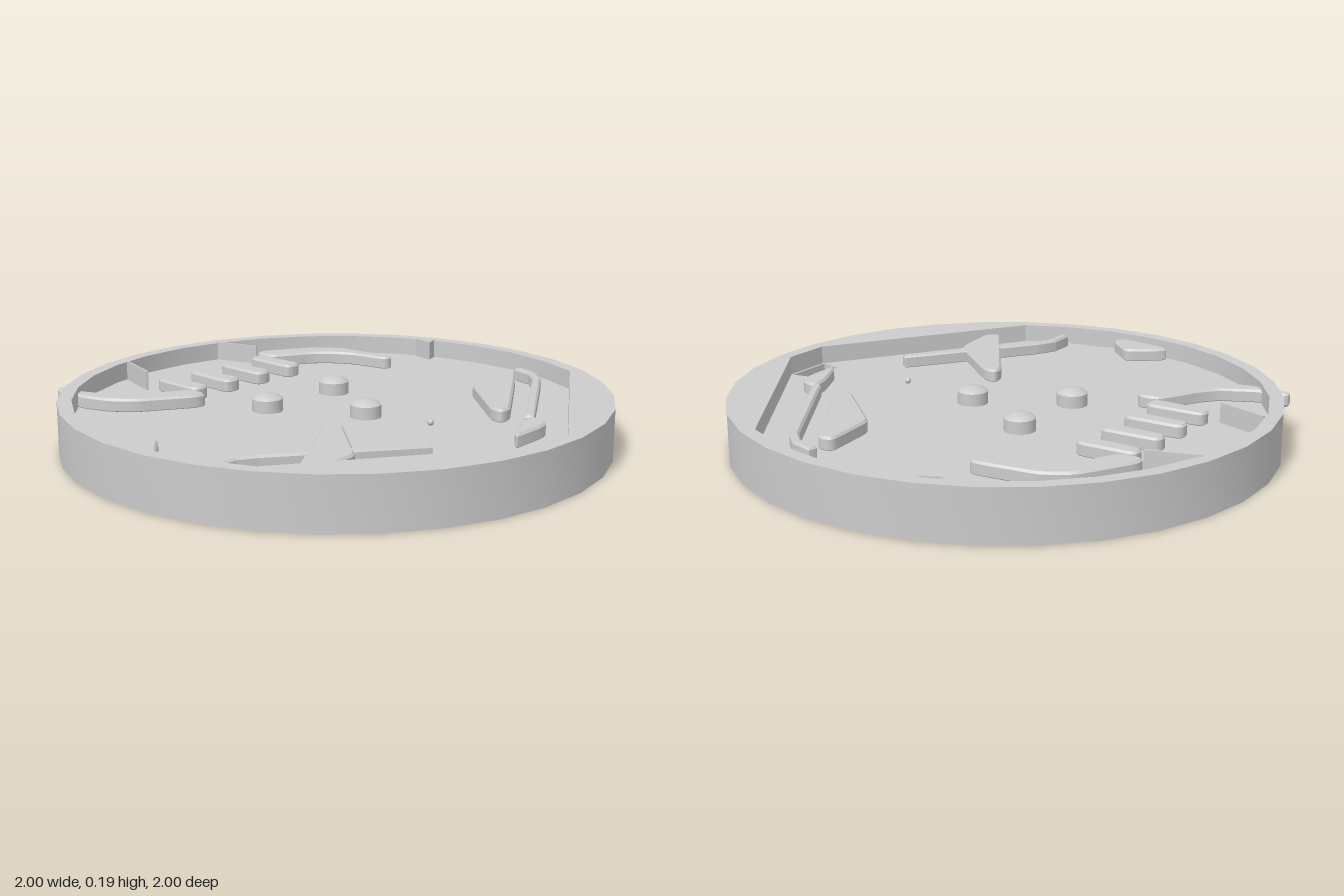
import * as THREE from 'three';
import { toCreasedNormals } from 'three/addons/utils/BufferGeometryUtils.js';

const FLOOR = 0.12, RIM = 0.19;
const material = new THREE.MeshStandardMaterial({ color: 0xcccccc, side: THREE.DoubleSide });

// Plan points are [x, z]; shapes are drawn in (x, -z) and laid flat.
const toVectors = (pts) => pts.map(([x, z]) => new THREE.Vector2(x, -z));

// Closed plan outline with every corner rounded by up to r.
function roundedShape(pts, r) {
  const v = toVectors(pts), n = v.length, shape = new THREE.Shape();
  v.forEach((p, i) => {
    const toward = (q) => p.clone().lerp(q, Math.min(0.45, r / p.distanceTo(q)));
    const a = toward(v[(i + n - 1) % n]), b = toward(v[(i + 1) % n]);
    if (i) shape.lineTo(a.x, a.y); else shape.moveTo(a.x, a.y);
    shape.quadraticCurveTo(p.x, p.y, b.x, b.y);
  });
  shape.closePath();
  return shape;
}

// Upright prism over a plan shape, with an optional bevelled top.
function prism(shape, y0, y1, bevel = 0) {
  const geo = new THREE.ExtrudeGeometry(shape, {
    depth: y1 - y0 - 2 * bevel, curveSegments: 4, bevelEnabled: bevel > 0,
    bevelThickness: bevel, bevelSize: bevel, bevelOffset: -bevel, bevelSegments: 1,
  });
  geo.translate(0, 0, bevel).rotateX(-Math.PI / 2).translate(0, y0, 0);
  return toCreasedNormals(geo, 0.5);
}

// Plan outline of a strip of given width along a path.
function strip(path, width) {
  const left = [], right = [];
  path.forEach(([x, z], i) => {
    const a = path[Math.max(i - 1, 0)], b = path[Math.min(i + 1, path.length - 1)];
    const dx = b[0] - a[0], dz = b[1] - a[1], k = width / 2 / Math.hypot(dx, dz);
    left.push([x - dz * k, z + dx * k]);
    right.unshift([x + dz * k, z - dx * k]);
  });
  return [...left, ...right];
}

// Points of a 32-sided ring, with edges centred front and back.
function ring(radius) {
  return Array.from({ length: 32 }, (_, i) => {
    const a = (i + 0.5) * Math.PI / 16;
    return [radius * Math.cos(a), radius * Math.sin(a)];
  });
}

export function createModel() {
  const model = new THREE.Group();
  const add = (name, geo, x = 0, y = 0, z = 0) => {
    const mesh = new THREE.Mesh(geo, material);
    mesh.name = name;
    mesh.position.set(x, y, z);
    model.add(mesh);
  };
  const block = (name, pts, r = 0.03) =>
    add(name, prism(roundedShape(pts, r), FLOOR - 0.005, 0.168, 0.008));

  // Round tray: the inner wall runs straight towards the drain at the front
  const inner = ring(0.952).filter(([x, z]) => z < 0.47 || Math.abs(x) < 0.12);
  const rim = new THREE.Shape(toVectors(ring(1.004)));
  rim.holes.push(new THREE.Path(toVectors(inner)));
  add('rim', prism(rim, 0, RIM));

  // Floor with the drain recess
  const drain = [[-0.08, 0.855], [0.08, 0.855], [0.095, 0.938], [-0.095, 0.938]];
  const floor = new THREE.Shape(toVectors(inner));
  floor.holes.push(new THREE.Path(toVectors(drain)));
  add('floor', prism(floor, 0, FLOOR));
  add('drainBottom', prism(new THREE.Shape(toVectors(drain)), 0, 0.08));

  // Lane dividers
  for (const x of [-0.23, -0.065, 0.1, 0.265]) {
    block('laneDivider', [[x - 0.032, -0.7], [x + 0.032, -0.7],
      [x + 0.038, -0.47], [x - 0.038, -0.47]], 0.034);
  }

  // Curved lane guides; the one on the right reaches through the rim
  block('rightLaneGuide', [[-0.62, -0.855], [-0.58, -0.855], [-0.572, -0.745], [-0.51, -0.615],
    [-0.45, -0.565], [-0.28, -0.475], [-0.28, -0.39], [-0.33, -0.39], [-0.52, -0.505],
    [-0.585, -0.585], [-0.62, -0.69]]);
  block('leftLaneGuide', [[0.315, -0.745], [0.36, -0.745], [0.555, -0.635], [0.62, -0.535],
    [0.645, -0.32], [0.64, -0.28], [0.6, -0.285], [0.575, -0.435], [0.53, -0.515],
    [0.47, -0.575], [0.315, -0.655]]);

  // Side deflector and slingshots
  block('sideDeflector', [[-0.91, -0.2], [-0.87, -0.165], [-0.795, -0.06], [-0.91, 0.06],
    [-0.945, 0.04], [-0.94, -0.08]]);
  block('rightSlingshot', [[-0.3, 0.215], [-0.25, 0.21], [-0.255, 0.265], [-0.48, 0.53],
    [-0.69, 0.555], [-0.73, 0.505]]);
  block('leftSlingshot', [[0.495, 0.24], [0.72, 0.215], [0.73, 0.27], [0.69, 0.3],
    [0.31, 0.555], [0.26, 0.555], [0.265, 0.505]]);

  // Inlane rails
  block('rightInlaneRail', strip([[-0.235, 0.64], [-0.7, 0.305], [-0.77, 0.27], [-0.87, 0.27]], 0.034), 0.004);
  block('leftInlaneRail', strip([[0.265, 0.67], [0.74, 0.365], [0.8, 0.3], [0.825, 0.21]], 0.034), 0.004);

  // Flipper
  block('flipper', [[0.04, 0.78], [0.06, 0.755], [0.2, 0.685], [0.27, 0.67],
    [0.27, 0.72], [0.235, 0.765], [0.18, 0.775]], 0.02);

  // Thin gates behind the lanes and the small wedge on the left wall
  for (const path of [[[-0.22, -0.92], [-0.28, -0.73]], [[0.26, -0.92], [0.315, -0.74]]]) {
    add('laneGate', prism(new THREE.Shape(toVectors(strip(path, 0.008))), FLOOR, RIM + 0.004));
  }
  add('wallWedge', prism(new THREE.Shape(toVectors([[0.875, -0.35], [0.91, -0.28], [0.855, -0.26]])),
    FLOOR, RIM + 0.004));

  // Domed bumpers
  const cap = [[0.057, 0], [0.057, 0.046], [0.045, 0.056], [0.025, 0.063], [0, 0.066]];
  const bumper = toCreasedNormals(
    new THREE.LatheGeometry(cap.map(([x, y]) => new THREE.Vector2(x, y)), 24), 0.6);
  for (const [x, z] of [[-0.175, -0.18], [0.18, -0.18], [0.005, 0.14]]) {
    add('bumper', bumper, x, FLOOR, z);
  }

  // Ball
  add('ball', new THREE.SphereGeometry(0.012, 16, 10), 0.005, 0.155, 0.44);
  return model;
}
